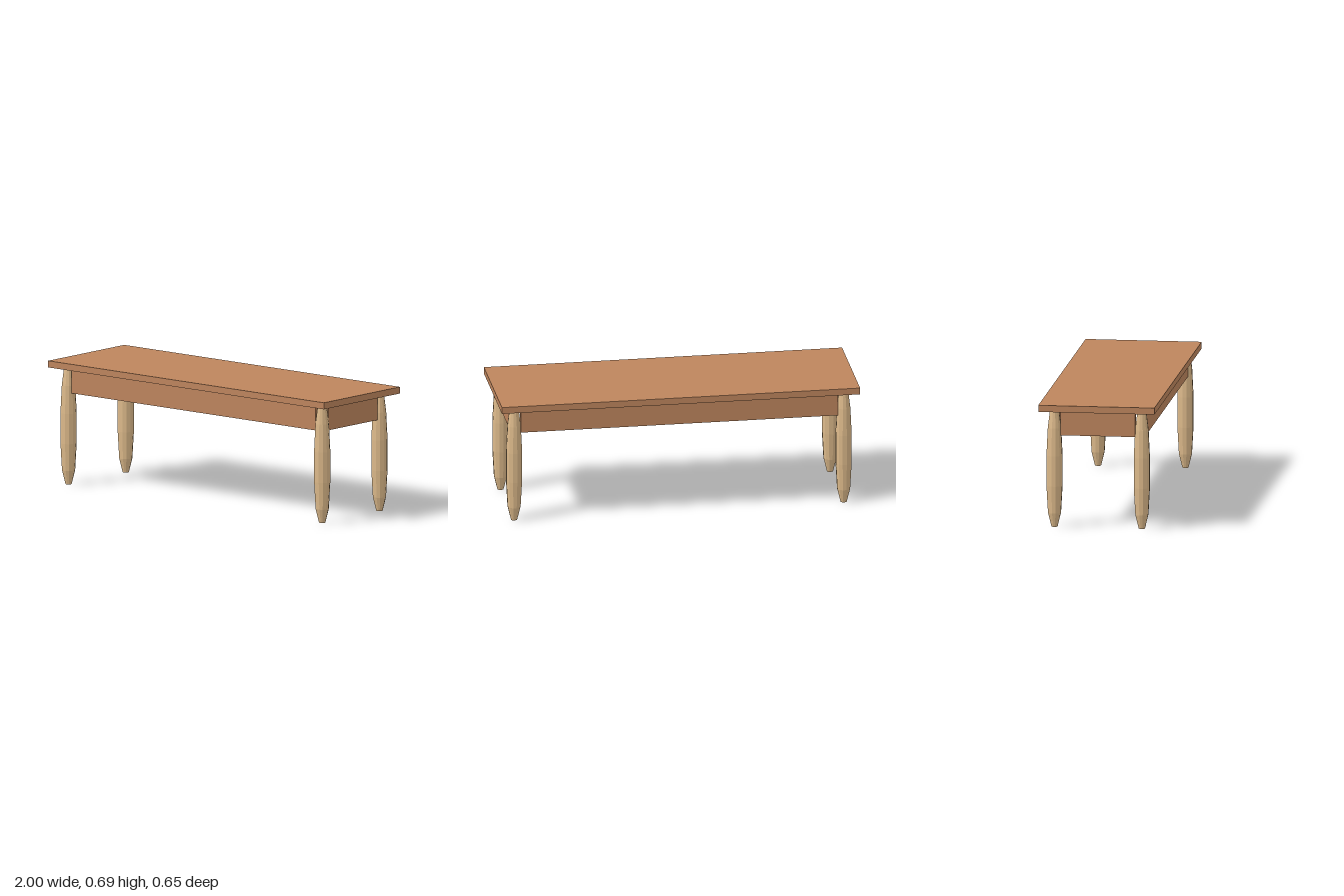
import * as THREE from 'three';

export function createModel() {
  const model = new THREE.Group();
  model.name = 'table';

  const brownWood = new THREE.MeshStandardMaterial({ color: 0xbd855d });
  brownWood.name = 'brownWood';
  const paleWood = new THREE.MeshStandardMaterial({ color: 0xdcb98a, flatShading: true });
  paleWood.name = 'paleWood';

  function board(name, w, h, d, x, y, z) {
    const mesh = new THREE.Mesh(new THREE.BoxGeometry(w, h, d), brownWood);
    mesh.name = name;
    mesh.position.set(x, y, z);
    model.add(mesh);
  }

  // Table top
  board('tableTop', 2, 0.037, 0.646, 0, 0.6735, 0);

  // Aprons run from leg to leg along the leg centre lines
  const legX = 0.92, legZ = 0.243, inset = 0.035, thick = 0.035;
  const low = 0.515, high = 0.655;
  const h = high - low, midY = (high + low) / 2;
  for (const [name, s] of [['front', 1], ['back', -1]]) {
    board(name + 'Apron', (legX - inset) * 2, h, thick, 0, midY, s * legZ);
  }
  for (const [name, s] of [['left', 1], ['right', -1]]) {
    board(name + 'Apron', thick, h, (legZ - inset) * 2, s * legX, midY, 0);
  }

  // Faceted legs, turned from one profile (radius, height), a flat facing each way
  const profile = [
    [0, 0], [0.0173, 0], [0.0365, 0.078], [0.045, 0.23],
    [0.045, 0.4], [0.0375, 0.555], [0.025, 0.655], [0, 0.655],
  ].map(([r, y]) => new THREE.Vector2(r, y));
  const legGeometry = new THREE.LatheGeometry(profile, 12, Math.PI / 12);
  for (const [side, sx] of [['Left', 1], ['Right', -1]]) {
    for (const [end, sz] of [['front', 1], ['back', -1]]) {
      const leg = new THREE.Mesh(legGeometry, paleWood);
      leg.name = end + side + 'Leg';
      leg.position.set(sx * legX, 0, sz * legZ);
      model.add(leg);
    }
  }

  return model;
}
